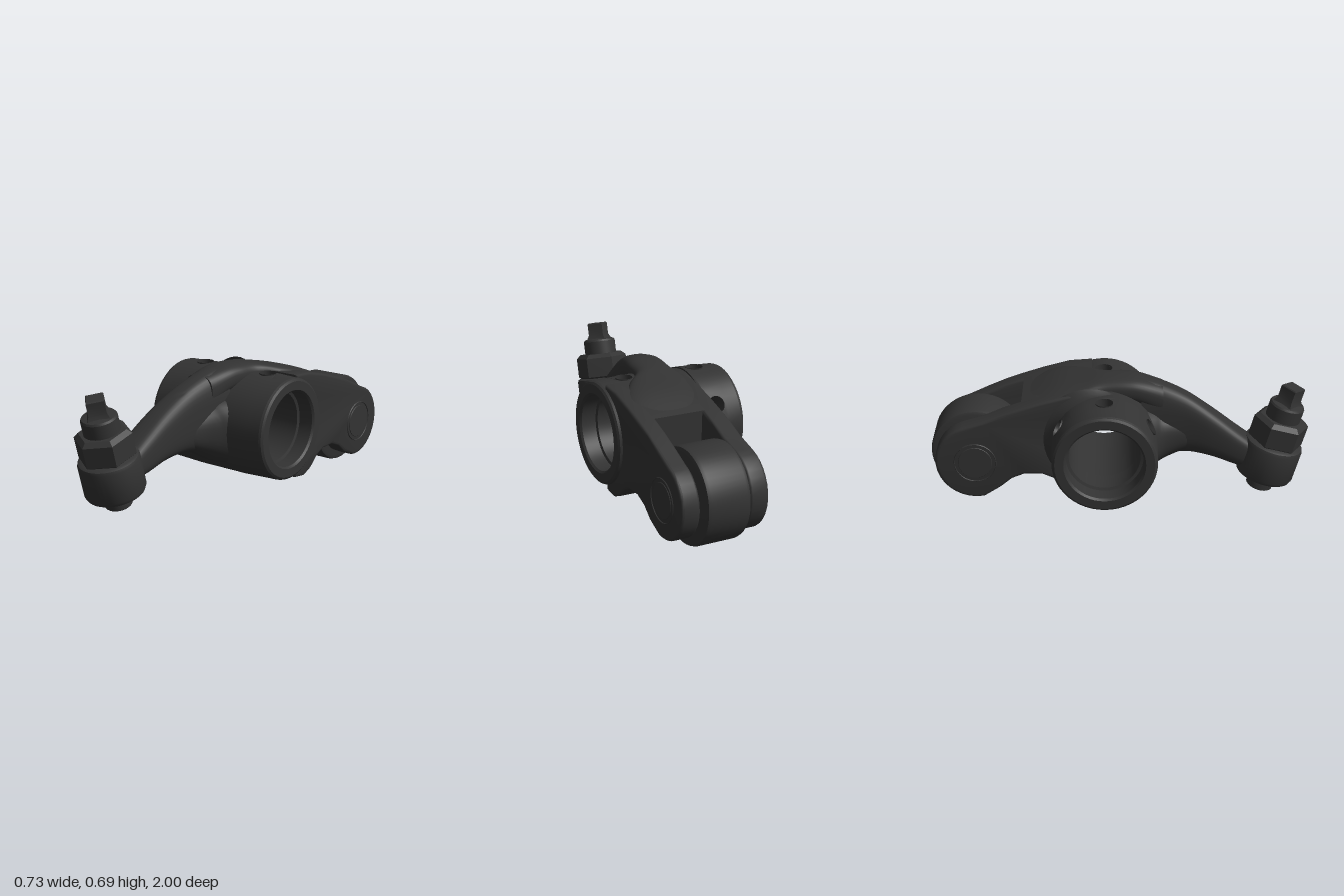
import * as THREE from 'three';
import { mergeGeometries, toCreasedNormals } from 'three/addons/utils/BufferGeometryUtils.js';

const V2 = (x, y) => new THREE.Vector2(x, y);
const HUB = { y: 0.375, z: -0.065 };      // shaft axis, along x
const PIN = { y: 0.255, z: -0.75 };       // roller axis, along x

export function createModel() {
  const model = new THREE.Group();
  const steel = new THREE.MeshStandardMaterial({ color: 0x333333 });
  const steelOpen = new THREE.MeshStandardMaterial({ color: 0x333333, side: THREE.DoubleSide });

  const add = (name, geo, parent = model, mat = steel, crease = 0.6) => {
    const mesh = new THREE.Mesh(toCreasedNormals(geo, crease), mat);
    mesh.name = name;
    parent.add(mesh);
    return mesh;
  };
  // lathe around the x axis; points are [radius, x]
  const latheX = (pts, seg = 48) =>
    new THREE.LatheGeometry(pts.map(p => V2(...p)), seg).rotateZ(-Math.PI / 2);

  // ---- hub: curved wall patches, some pierced by oil holes ----
  const hubRadius = x => 0.285 - 0.014 * Math.abs(x) / 0.345;
  const boreRadius = () => 0.185;
  const holeR = 0.045, step = Math.PI / 6;
  const patch = (x0, x1, a, radius, holeX) => {
    let g;
    if (holeX === null) {
      g = new THREE.PlaneGeometry(x1 - x0, step, 1, 4).translate((x0 + x1) / 2, a, 0);
    } else {
      const pts = [];
      for (let i = 0; i <= 4; i++) pts.push(V2(x1, a + step * (i / 4 - 0.5)));
      for (let i = 4; i >= 0; i--) pts.push(V2(x0, a + step * (i / 4 - 0.5)));
      const shape = new THREE.Shape(pts);
      const hole = new THREE.Path();
      hole.absellipse(holeX, a, holeR, Math.asin(holeR / radius(holeX)), 0, Math.PI * 2, true);
      shape.holes.push(hole);
      g = new THREE.ShapeGeometry(shape, 10);
    }
    const p = g.attributes.position;
    for (let i = 0; i < p.count; i++) {
      const r = radius(p.getX(i)), t = p.getY(i);
      p.setXYZ(i, p.getX(i), HUB.y + r * Math.cos(t), HUB.z - r * Math.sin(t));
    }
    return g.toNonIndexed();
  };
  const holes = [[-0.21, 0], [-0.21, 2], [-0.21, -2], [0.205, 0]];  // x, angle in steps
  const breaks = [-0.345, -0.27, -0.15, 0.14, 0.27, 0.345];
  const outer = [], inner = [];
  for (let k = -6; k < 6; k++) {
    for (let c = 0; c < 5; c++) {
      const x0 = breaks[c], x1 = breaks[c + 1];
      const hit = holes.find(h => h[1] === k && h[0] > x0 && h[0] < x1);
      const hx = hit ? hit[0] : null;
      outer.push(patch(x0, x1, k * step, hubRadius, hx));
      if (c > 0 && c < 4) inner.push(patch(x0, x1, k * step, boreRadius, hx));
    }
  }
  add('hubOuterWall', mergeGeometries(outer), model, steelOpen);
  add('hubBore', mergeGeometries(inner), model, steelOpen);
  for (const [x, k] of holes) {
    const g = new THREE.CylinderGeometry(holeR, holeR, 0.1, 24, 1, true)
      .translate(0, 0.23, 0).rotateX(-k * step).translate(x, HUB.y, HUB.z);
    add('oilHole', g, model, steelOpen);
  }
  // rounded end faces with a counterbore
  const endProfile = [[0.271, 0.345], [0.267, 0.357], [0.256, 0.365], [0.21, 0.365],
    [0.2, 0.355], [0.2, 0.275], [0.185, 0.27]];
  for (const s of [1, -1]) {
    const g = latheX(endProfile);
    if (s < 0) g.rotateY(Math.PI);
    add('hubEnd', g.translate(0, HUB.y, HUB.z), model, steelOpen);
  }
  // fillet where the barrel meets the fork, strongest towards the back
  const fillet = latheX([[0.276, -0.165], [0.288, -0.14], [0.31, -0.12], [0.355, -0.1]]);
  const fp = fillet.attributes.position;
  for (let i = 0; i < fp.count; i++) {
    const y = fp.getY(i), z = fp.getZ(i), r = Math.hypot(y, z);
    const t = Math.atan2(-z, y) - 1.3;
    const f = (0.27 + (r - 0.27) * Math.max(0, Math.cos(t))) / r;
    fp.setXYZ(i, fp.getX(i), y * f, z * f);
  }
  add('barrelFillet', fillet.translate(0, HUB.y, HUB.z), model, steelOpen);

  // ---- fork: side plates and the web between them ----
  const topLine = [[-0.13, 0.65], [-0.25, 0.642], [-0.4, 0.602], [-0.5, 0.57]];
  const topRear = [[-0.6, 0.535], [-0.7, 0.492]];
  const lowRear = [[-0.62, 0.105], [-0.56, 0.155]];
  const lowLine = [[-0.49, 0.183], [-0.4, 0.182], [-0.34, 0.155], [-0.28, 0.1], [-0.22, 0.075], [-0.14, 0.085]];
  const forkPart = (name, x0, x1, tipR) => {
    const pts = [...topLine];
    if (tipR) {
      pts.push(...topRear);
      for (let i = 0; i <= 16; i++) {
        const a = 1.85 + (4.9 - 1.85) * i / 16;
        pts.push([PIN.z + tipR * Math.cos(a), PIN.y + tipR * Math.sin(a)]);
      }
      pts.push(...lowRear);
    }
    pts.push(...lowLine);
    for (let i = 0; i <= 14; i++) {      // follows the inside of the hub wall
      const a = 4.4 - 2.53 * i / 14;
      pts.push([HUB.z + 0.225 * Math.cos(a), HUB.y + 0.225 * Math.sin(a)]);
    }
    const b = tipR ? 0.014 : 0;
    const g = new THREE.ExtrudeGeometry(new THREE.Shape(pts.map(p => V2(...p))), {
      depth: x1 - x0 - 2 * b, bevelEnabled: b > 0, bevelSize: b, bevelThickness: b,
      bevelOffset: -b, bevelSegments: 3,
    });
    add(name, g.rotateY(-Math.PI / 2).translate(x1 - b, 0, 0));
  };
  forkPart('forkPlateRight', -0.115, -0.012, 0.212);
  forkPart('forkPlateLeft', 0.247, 0.345, 0.196);
  forkPart('forkWeb', -0.03, 0.265, 0);

  // ---- roller and its pin ----
  add('roller', latheX([[0.1, 0], [0.225, 0], [0.24, 0.006], [0.245, 0.022], [0.245, 0.213],
    [0.24, 0.229], [0.225, 0.235], [0.1, 0.235]], 56).translate(0, PIN.y, PIN.z), model, steelOpen);
  add('rollerPin', latheX([[0, -0.118], [0.088, -0.118], [0.092, -0.112], [0.106, -0.112], [0.11, -0.119],
    [0.115, -0.112], [0.115, 0.342], [0.11, 0.349], [0.106, 0.342], [0.092, 0.342], [0.088, 0.348], [0, 0.348]])
    .translate(0, PIN.y, PIN.z), model, steelOpen, 0.4);

  // ---- lofted arm; sections are [z, centre x, half width, top, bottom] from front to back ----
  const loft = (name, sections, power) => {
    const curve = new THREE.CubicInterpolant(sections.map((_, i) => i), sections.flat(), 5);
    const n = 36, rows = (sections.length - 1) * 5, pos = [], idx = [];
    for (let i = 0; i <= rows; i++) {
      const [z, xc, hw, top, bot] = curve.evaluate(i / 5);
      for (let j = 0; j < n; j++) {
        const a = j / n * Math.PI * 2, c = Math.cos(a), s = Math.sin(a);
        const bend = v => Math.sign(v) * Math.abs(v) ** (2 / power);
        pos.push(xc + hw * bend(c), (top + bot) / 2 + (top - bot) / 2 * bend(s), z);
        const k = (j + 1) % n, p = i * n;
        if (i < rows) idx.push(p + j, p + n + j, p + k, p + k, p + n + j, p + n + k);
      }
    }
    for (let j = 1; j < n - 1; j++) idx.push(0, j, j + 1, rows * n, rows * n + j + 1, rows * n + j);
    const g = new THREE.BufferGeometry();
    g.setAttribute('position', new THREE.Float32BufferAttribute(pos, 3));
    g.setIndex(idx);
    add(name, g, model, steel, 0.8);
  };
  loft('frontArm', [
    [0.74, -0.09, 0.085, 0.36, 0.22], [0.63, -0.08, 0.087, 0.44, 0.24], [0.5, -0.06, 0.086, 0.535, 0.278],
    [0.36, -0.03, 0.086, 0.622, 0.29], [0.22, -0.005, 0.092, 0.678, 0.25], [0.128, 0.01, 0.1, 0.698, 0.2]], 3.2);
  loft('spine', [
    [0.24, -0.008, 0.088, 0.67, 0.5], [0.13, 0.01, 0.1, 0.697, 0.56], [0.05, 0.02, 0.105, 0.704, 0.575],
    [-0.07, 0.035, 0.11, 0.696, 0.575], [-0.17, 0.07, 0.16, 0.676, 0.575], [-0.32, 0.115, 0.215, 0.64, 0.5],
    [-0.49, 0.115, 0.222, 0.57, 0.45]], 2.8);
  loft('neckFlare', [
    [0.38, -0.035, 0.08, 0.48, 0.31], [0.3, -0.02, 0.1, 0.5, 0.27], [0.24, -0.005, 0.13, 0.52, 0.235],
    [0.2, 0, 0.165, 0.54, 0.21], [0.135, 0, 0.23, 0.56, 0.18]], 2.4);

  // ---- adjuster at the tip of the arm, leaning forwards ----
  const adjuster = new THREE.Group();
  adjuster.name = 'adjuster';
  adjuster.position.set(-0.1, 0.255, 0.8);
  adjuster.rotation.x = 0.25;
  model.add(adjuster);
  const turned = (name, pts, seg) =>
    add(name, new THREE.LatheGeometry(pts.map(p => V2(...p)), seg), adjuster, steel, 0.5);
  turned('boss', [[0, -0.085], [0.13, -0.085], [0.148, -0.078], [0.156, -0.06], [0.156, 0.1],
    [0.151, 0.115], [0.138, 0.122], [0, 0.122]], 40);
  turned('stud', [[0, -0.158], [0.064, -0.158], [0.07, -0.152], [0.07, -0.07]], 32);
  turned('lockNut', [[0, 0.118], [0.13, 0.118], [0.147, 0.13], [0.147, 0.24], [0.122, 0.262], [0, 0.262]], 6);
  turned('collar', [[0.092, 0.24], [0.092, 0.335], [0.086, 0.345], [0.05, 0.352], [0, 0.352]], 32);
  turned('squareHead', [[0.083, 0.34], [0.063, 0.372], [0.063, 0.437], [0.058, 0.443], [0, 0.443]], 4);

  return model;
}
